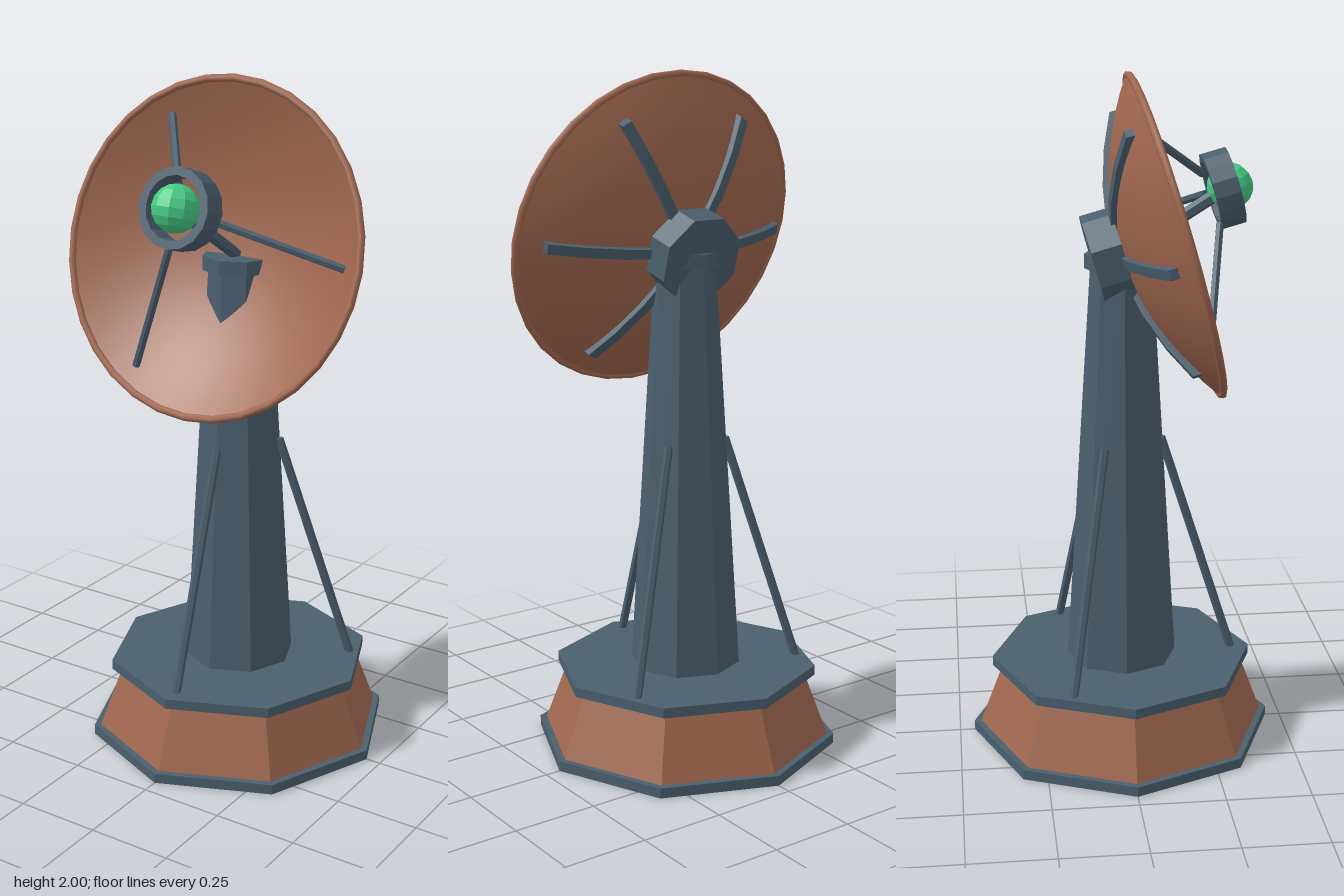
import * as THREE from 'three';

const steel = new THREE.MeshStandardMaterial({ color: 0x4a5f6e });
const copper = new THREE.MeshStandardMaterial({ color: 0xa0674f });
const signalGreen = new THREE.MeshStandardMaterial({ color: 0x45cc85 });
steel.name = 'steel';
copper.name = 'copper';
signalGreen.name = 'signalGreen';

const TILT = -0.275;             // dish faces slightly upwards
const RIM = 0.473, DEPTH = 0.145, SHELL = 0.022;
const bowl = (r) => DEPTH * (r / RIM) ** 2;
const vec = (x, y, z) => new THREE.Vector3(x, y, z);

// Facet a geometry
function faceted(geometry) {
  const g = geometry.index ? geometry.toNonIndexed() : geometry;
  g.computeVertexNormals();
  return g;
}

function add(parent, name, geometry, material) {
  const mesh = new THREE.Mesh(geometry, material);
  mesh.name = name;
  parent.add(mesh);
  return mesh;
}

// Eight-sided tapered block standing from y0 to y1
function octagon(parent, name, rBottom, rTop, y0, y1, material) {
  const g = new THREE.CylinderGeometry(rTop, rBottom, y1 - y0, 8);
  g.translate(0, (y0 + y1) / 2, 0);
  return add(parent, name, faceted(g), material);
}

// Straight rod between two points
function rod(parent, name, a, b, radius) {
  const dir = b.clone().sub(a);
  const g = faceted(new THREE.CylinderGeometry(radius, radius, dir.length(), 6));
  const mesh = add(parent, name, g, steel);
  mesh.position.copy(a).add(b).multiplyScalar(0.5);
  mesh.quaternion.setFromUnitVectors(vec(0, 1, 0), dir.normalize());
}

export function createModel() {
  const model = new THREE.Group();
  model.name = 'dishAntenna';

  // Base and tower
  octagon(model, 'baseTrim', 0.455, 0.455, 0, 0.03, steel);
  octagon(model, 'baseSkirt', 0.435, 0.365, 0.03, 0.216, copper);
  octagon(model, 'baseDeck', 0.395, 0.395, 0.216, 0.246, steel);
  octagon(model, 'tower', 0.165, 0.09, 0.246, 1.455, steel);
  octagon(model, 'towerCap', 0.107, 0.107, 1.45, 1.492, steel);

  // Three stays bracing the tower
  for (let i = 0; i < 3; i++) {
    const a = Math.PI / 2 + i * Math.PI * 2 / 3;
    const c = Math.cos(a), s = Math.sin(a);
    rod(model, 'stay', vec(0.34 * c, 0.24, 0.34 * s), vec(0.118 * c, 0.935, 0.118 * s), 0.013);
  }

  // Tilted dish, its local z being the dish axis
  const dish = new THREE.Group();
  dish.name = 'dish';
  dish.position.set(0, 1.498, 0.018);
  dish.rotation.x = TILT;
  model.add(dish);

  const back = [], front = [];
  for (let i = 0; i <= 10; i++) {
    const r = RIM * i / 10;
    back.push(new THREE.Vector2(r, bowl(r) - SHELL * (1 - 0.5 * (i / 10) ** 4)));
    front.unshift(new THREE.Vector2(r, bowl(r)));
  }
  add(dish, 'dishBack', new THREE.LatheGeometry(back, 32).rotateX(Math.PI / 2), copper);
  add(dish, 'dishFace', new THREE.LatheGeometry(front, 32).rotateX(Math.PI / 2), copper);
  add(dish, 'dishRim', new THREE.TorusGeometry(RIM, 0.011, 8, 32), copper).position.z = DEPTH - 0.006;

  // Hub behind the dish
  const hub = new THREE.CylinderGeometry(0.135, 0.135, 0.088, 8);
  hub.rotateY(Math.PI / 8).rotateX(Math.PI / 2).translate(0, 0, -0.061);
  add(dish, 'hub', faceted(hub), steel);

  // Six bent ribs following the back of the dish
  const ribRadii = [0.1, 0.2, 0.31, 0.41];
  const ribShape = new THREE.Shape([
    ...ribRadii.map((r) => new THREE.Vector2(r, bowl(r) - SHELL - 0.018)),
    ...ribRadii.slice().reverse().map((r) => new THREE.Vector2(r, bowl(r) - SHELL + 0.01)),
  ]);
  const ribGeometry = new THREE.ExtrudeGeometry(ribShape, { depth: 0.03, bevelEnabled: false });
  ribGeometry.translate(0, 0, -0.015).rotateX(Math.PI / 2);
  for (let i = 0; i < 6; i++) add(dish, 'rib', ribGeometry, steel).rotation.z = i * Math.PI / 3;

  // Feed: open ring with a glowing ball
  const feed = new THREE.Group();
  feed.name = 'feed';
  feed.position.set(0, 1.672, 0.29);
  feed.rotation.x = TILT;
  model.add(feed);
  const ringProfile = [[0.088, -0.036], [0.112, -0.036], [0.112, 0.036], [0.088, 0.036], [0.088, -0.036]]
    .map(([r, y]) => new THREE.Vector2(r, y));
  add(feed, 'feedRing', faceted(new THREE.LatheGeometry(ringProfile, 16).rotateX(Math.PI / 2)), steel);
  const ball = add(feed, 'feedBall', faceted(new THREE.SphereGeometry(0.067, 10, 8)), signalGreen);
  ball.position.z = 0.021;

  // Central boom and three struts carrying the feed
  rod(model, 'boom', vec(0, 1.49, 0.01), vec(0, 1.66, 0.28), 0.019);
  dish.updateMatrix();
  for (let i = 0; i < 3; i++) {
    const a = i * Math.PI * 2 / 3;
    const foot = vec(0.415 * Math.cos(a), 0.415 * Math.sin(a), bowl(0.415)).applyMatrix4(dish.matrix);
    const start = feed.position.clone().lerp(foot, 0.1 / foot.distanceTo(feed.position));
    rod(model, 'strut', start, foot, 0.012);
  }
  return model;
}
